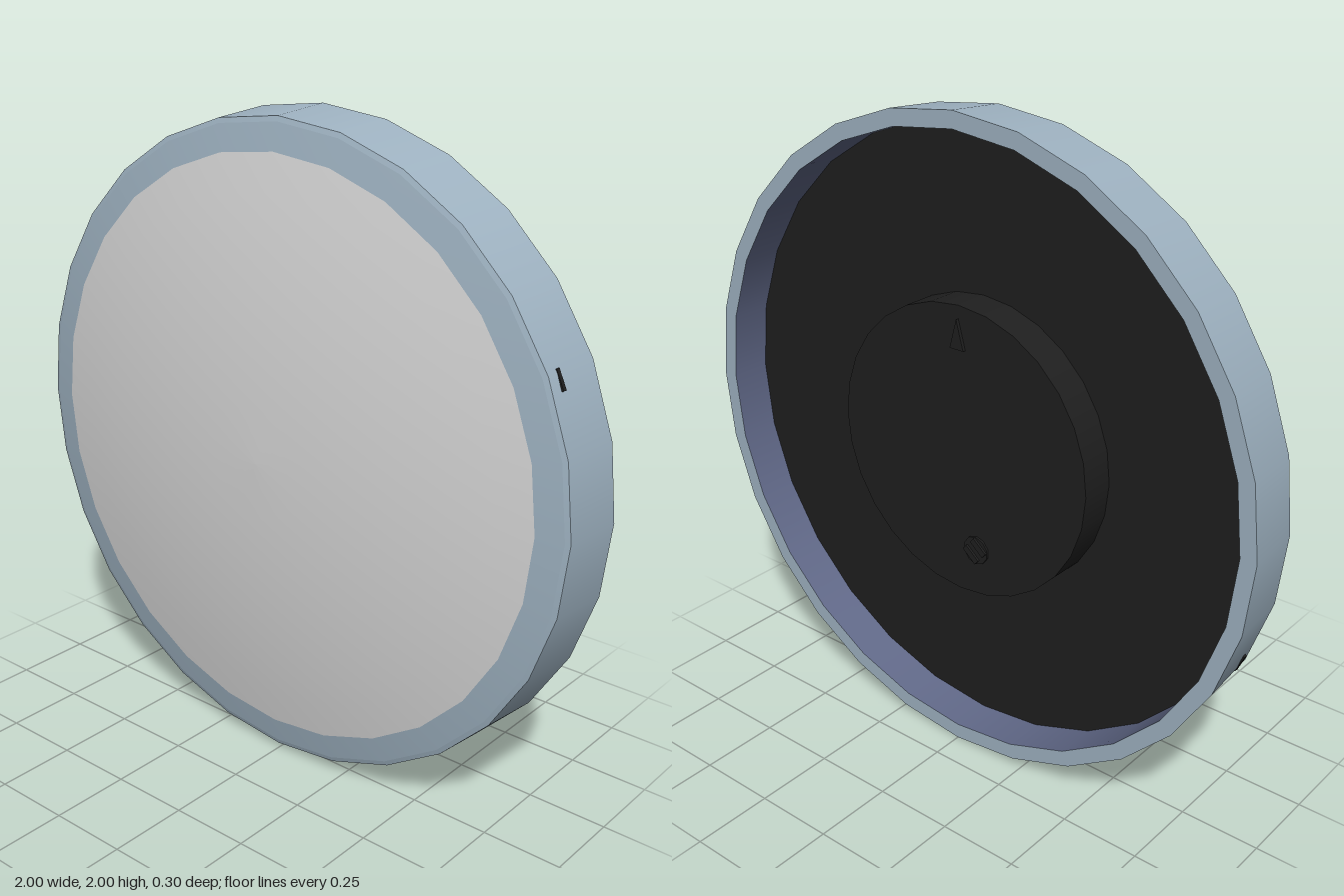
import * as THREE from 'three';

const SIDES = 28;
const FLOOR_Z = -0.02, HUB_Z = -0.13, BACK_Z = -0.15;

const flat = (name, color, extra = {}) => {
  const m = new THREE.MeshStandardMaterial({ color, ...extra });
  m.name = name;
  return m;
};

export function createModel() {
  const blue = flat('rimBlue', 0x9fb3c2);
  const white = flat('faceWhite', 0xd8d8d8);
  const slate = flat('innerSlate', 0x626a8a);
  const black = flat('backBlack', 0x1f1f1f);

  const disc = new THREE.Group();
  disc.name = 'disc';
  disc.position.y = 1;

  const add = (name, geo, mat, parent = disc) => {
    const mesh = new THREE.Mesh(geo, mat);
    mesh.name = name;
    parent.add(mesh);
    return mesh;
  };

  // Turned surface from [radius, z] points; separate calls keep sharp edges
  const turn = (name, points, mat, sides = SIDES) => {
    const geo = new THREE.LatheGeometry(points.map(([r, z]) => new THREE.Vector2(r, z)), sides);
    geo.rotateX(Math.PI / 2);
    return add(name, geo, mat);
  };

  // Domed front, split into the coloured border and the pale centre
  const domeZ = r => 0.05 + 0.097 * (1 - (r / 0.97) ** 2);
  const dome = radii => radii.map(r => [r, domeZ(r)]);
  turn('frontLip', [[0.985, 0.045], [0.97, 0.05]], blue);
  turn('frontBorder', dome([0.97, 0.93, 0.89]), blue);
  turn('frontFace', dome([0.89, 0.78, 0.65, 0.5, 0.34, 0.17, 0]), white);

  // Rim
  turn('outerWall', [[1, BACK_Z], [0.985, 0.045]], blue);
  turn('backEdge', [[0.95, BACK_Z], [1, BACK_Z]], blue);
  turn('innerWall', [[0.95, FLOOR_Z], [0.95, BACK_Z]], slate);

  // Recessed back with a raised central hub
  turn('backFloor', [[0.45, FLOOR_Z], [0.95, FLOOR_Z]], black);
  turn('hubWall', [[0.455, HUB_Z], [0.455, FLOOR_Z]], black);
  turn('hubCap', [[0, HUB_Z], [0.455, HUB_Z]], black);

  // Small pointer and slotted screw on the hub
  const pointerShape = new THREE.Shape([[-0.025, -0.045], [0.025, -0.045], [0, 0.045]]
    .map(([x, y]) => new THREE.Vector2(x, y)));
  const pointer = add('pointer',
    new THREE.ExtrudeGeometry(pointerShape, { depth: 0.012, bevelEnabled: false }), black);
  pointer.position.set(0, 0.37, HUB_Z - 0.01);

  const screw = new THREE.Group();
  screw.name = 'screw';
  screw.position.set(-0.065, -0.3, HUB_Z);
  disc.add(screw);
  const head = new THREE.CylinderGeometry(0.045, 0.045, 0.014, 10);
  head.rotateX(Math.PI / 2);
  add('screwHead', head, black, screw);
  for (const s of [-1, 1]) {
    const ridge = add('screwRidge', new THREE.BoxGeometry(0.06, 0.02, 0.012), black, screw);
    ridge.rotation.z = 0.7;
    ridge.position.set(-0.014 * s, 0.016 * s, -0.008);
  }

  // Tiny slots on opposite sides of the rim
  for (const angle of [0.43, 0.43 + Math.PI]) {
    const slot = add('rimSlot', new THREE.BoxGeometry(0.009, 0.06, 0.014), black);
    slot.position.set(Math.cos(angle) * 0.985, Math.sin(angle) * 0.985, 0);
    slot.rotation.z = angle;
  }

  const model = new THREE.Group();
  model.name = 'model';
  model.add(disc);
  return model;
}
